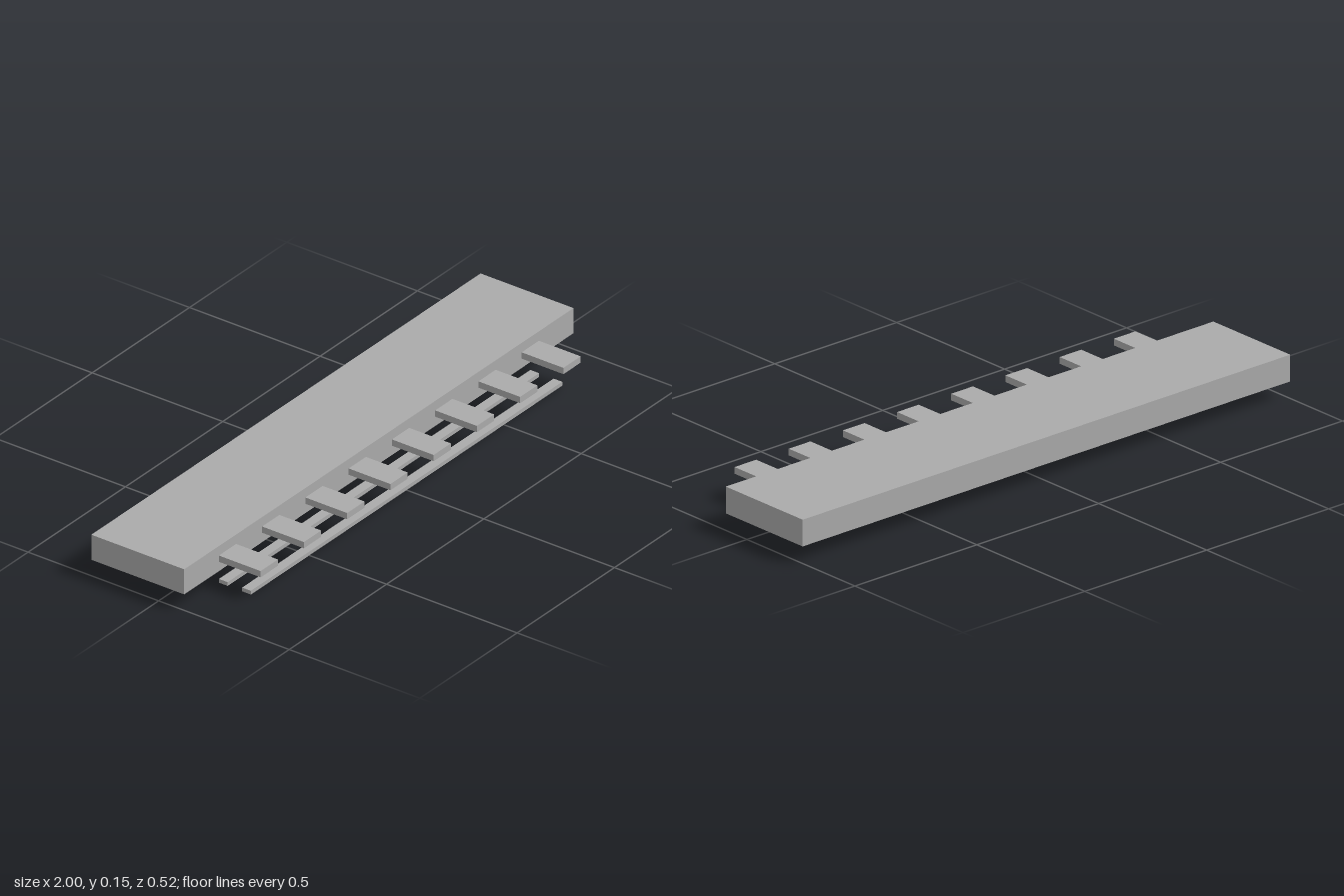
import * as THREE from 'three';

export function createModel() {
  const model = new THREE.Group();
  const grey = new THREE.MeshStandardMaterial({ color: 0xaaaaaa });
  grey.name = 'grey';

  function box(name, size, position) {
    const mesh = new THREE.Mesh(new THREE.BoxGeometry(...size), grey);
    mesh.name = name;
    mesh.position.set(...position);
    model.add(mesh);
  }

  // Main slab
  box('body', [2, 0.0889, 0.356], [0, 0.101, -0.08]);

  // Row of eight flat teeth along the front edge
  for (let i = 0; i < 8; i++) {
    box('tooth', [0.0889, 0.0222, 0.16], [(i - 3.5) * 0.2222, 0.101, 0.178]);
  }

  // Three thin rails below
  for (let i = 0; i < 3; i++) {
    box('rail', [1.6, 0.0133, 0.0336], [0, 0.00665, 0.0095 + i * 0.0889]);
  }
  return model;
}
